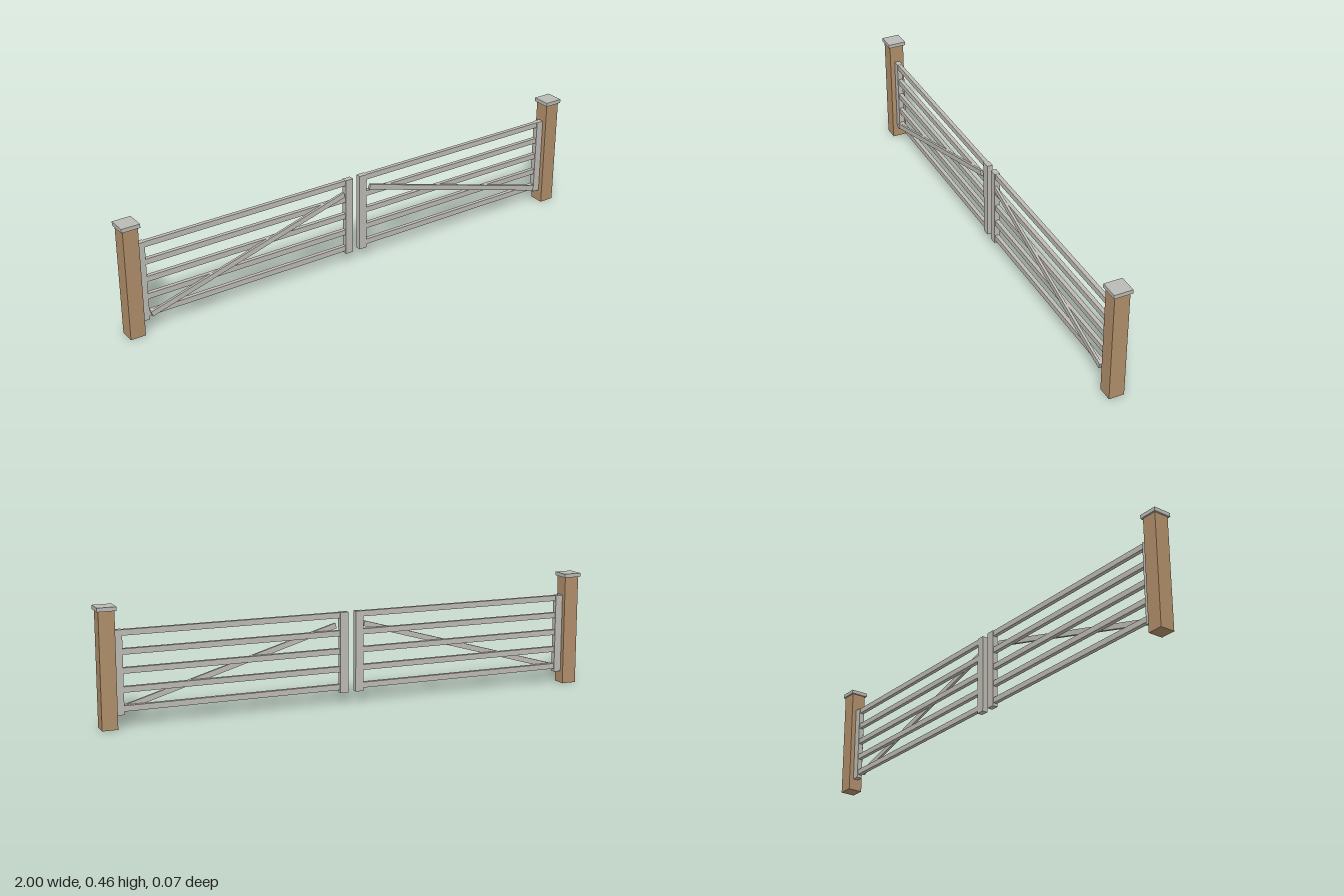
import * as THREE from 'three';

export function createModel() {
  const model = new THREE.Group();
  model.name = 'doubleGate';

  const material = (name, color) => {
    const m = new THREE.MeshStandardMaterial({ color });
    m.name = name;
    return m;
  };
  const wood = material('tan wood', 0xb08e6a);
  const capGrey = material('cap grey', 0xbabab6);
  const gateGrey = material('gate grey', 0xbdbbb3);

  const box = (parent, name, mat, size, position) => {
    const mesh = new THREE.Mesh(new THREE.BoxGeometry(...size), mat);
    mesh.name = name;
    mesh.position.set(...position);
    parent.add(mesh);
    return mesh;
  };

  // s = 1 is the model's left half, s = -1 the mirrored right half
  for (const s of [1, -1]) {
    const side = s > 0 ? 'left' : 'right';

    // Gate post with flat cap
    const post = new THREE.Group();
    post.name = side + 'Post';
    post.position.x = s * 0.9635;
    box(post, 'postShaft', wood, [0.06, 0.441, 0.06], [0, 0.2205, 0]);
    box(post, 'postCap', capGrey, [0.073, 0.015, 0.073], [0, 0.4485, 0]);

    // Gate leaf: two stiles, five rails
    const leaf = new THREE.Group();
    leaf.name = side + 'Leaf';
    box(leaf, 'hingeStile', gateGrey, [0.033, 0.318, 0.022], [s * 0.92, 0.207, 0]);
    box(leaf, 'meetingStile', gateGrey, [0.033, 0.318, 0.022], [s * 0.032, 0.207, 0]);
    for (let i = 0; i < 5; i++) {
      box(leaf, 'rail' + (i + 1), gateGrey, [0.857, 0.022, 0.016], [s * 0.476, 0.071 + i * 0.0708, 0]);
    }

    // Diagonal brace on the front, rising towards the middle
    const dx = 0.838, dy = 0.242;
    const brace = box(leaf, 'diagonalBrace', gateGrey, [Math.hypot(dx, dy), 0.021, 0.01], [s * 0.478, 0.191, 0.013]);
    brace.rotation.z = -s * Math.atan2(dy, dx);

    model.add(post, leaf);
  }
  return model;
}
